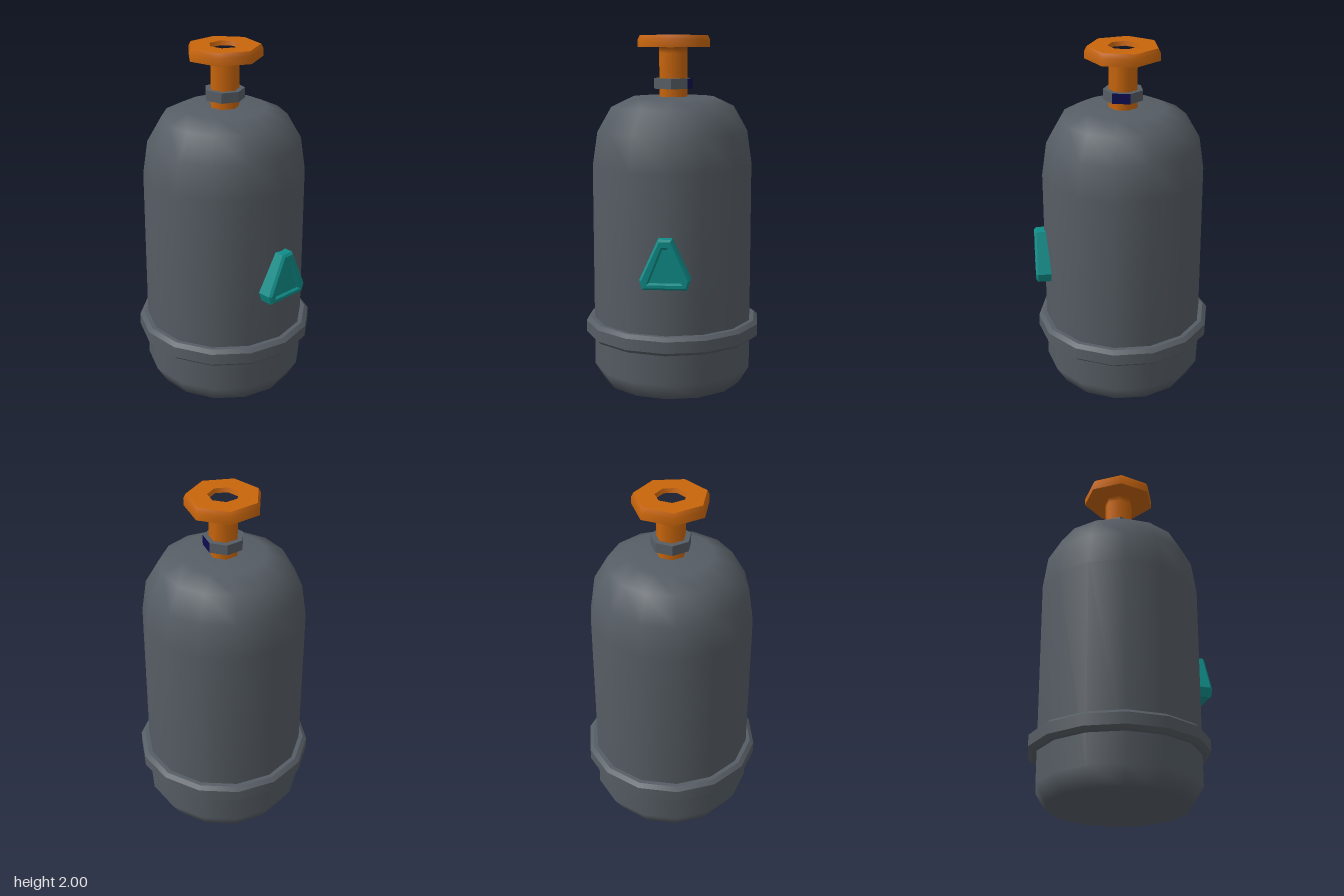
import * as THREE from 'three';

const steel = new THREE.MeshStandardMaterial({ color: 0x565d64 });
steel.name = 'steelGrey';
const orange = new THREE.MeshStandardMaterial({ color: 0xc8650c });
orange.name = 'valveOrange';
const teal = new THREE.MeshStandardMaterial({ color: 0x0f8c88 });
teal.name = 'badgeTeal';
const navy = new THREE.MeshStandardMaterial({ color: 0x0c0c50 });
navy.name = 'navy';

// One lathed band per profile: smooth inside a band, sharp between bands
function lathed(name, material, sides, bands) {
  const group = new THREE.Group();
  group.name = name;
  bands.forEach((band, i) => {
    const points = band.map(([r, y]) => new THREE.Vector2(r, y));
    const mesh = new THREE.Mesh(new THREE.LatheGeometry(points, sides), material);
    mesh.name = `${name}Band${i + 1}`;
    group.add(mesh);
  });
  return group;
}

function makeCollar() {
  const geo = new THREE.CylinderGeometry(0.113, 0.113, 0.058, 7).toNonIndexed();
  geo.computeVertexNormals();
  // One of the seven sides is navy
  geo.clearGroups();
  geo.addGroup(0, 6, 0);
  geo.addGroup(6, 6, 1);
  geo.addGroup(12, geo.attributes.position.count - 12, 0);
  const collar = new THREE.Mesh(geo, [steel, navy]);
  collar.name = 'collar';
  collar.position.y = 1.73;
  return collar;
}

function makeBadge() {
  const badge = new THREE.Group();
  badge.name = 'triangleBadge';
  const toPoints = (list) => list.map(([x, y]) => new THREE.Vector2(x, y));
  const outline = new THREE.Shape(toPoints([
    [-0.121, 0.652], [0.121, 0.652], [0.138, 0.705], [0.037, 0.928], [-0.037, 0.928], [-0.138, 0.705],
  ]));
  const inner = toPoints([[-0.086, 0.69], [0.086, 0.69], [0.012, 0.873], [-0.012, 0.873]]);
  outline.holes.push(new THREE.Path(inner));
  const rim = new THREE.Mesh(new THREE.ExtrudeGeometry(outline, {
    depth: 0.08, bevelThickness: 0.013, bevelSize: 0.012, bevelOffset: -0.012, bevelSegments: 1,
  }), teal);
  rim.name = 'badgeRim';
  rim.position.z = 0.42;

  // Sunken face inside the rim
  const face = new THREE.Mesh(new THREE.ShapeGeometry(new THREE.Shape(inner).clone()), teal);
  face.name = 'badgeFace';
  face.scale.set(1.1, 1.1, 1);
  face.position.set(0, -0.077, 0.5);
  badge.add(rim, face);
  return badge;
}

export function createModel() {
  const model = new THREE.Group();
  model.name = 'gasCylinder';

  const tank = new THREE.Group();
  tank.name = 'tank';
  tank.position.z = -0.005;
  model.add(tank);

  // Rounded bottle with a domed shoulder
  tank.add(lathed('bottle', steel, 14, [[
    [0, 0], [0.4, 0], [0.46, 0.1], [0.46, 1.27], [0.432, 1.46], [0.352, 1.6], [0.236, 1.655], [0, 1.657],
  ]]));

  // Chamfered band near the base
  tank.add(lathed('baseBand', steel, 14, [
    [[0.45, 0.277], [0.485, 0.277]],
    [[0.485, 0.277], [0.508, 0.297]],
    [[0.508, 0.297], [0.508, 0.362]],
    [[0.508, 0.362], [0.485, 0.382]],
    [[0.485, 0.382], [0.45, 0.382]],
  ]));

  // Hollow stem flaring into a seven-sided hand wheel
  tank.add(lathed('valveWheel', orange, 7, [
    [[0.082, 1.65], [0.082, 1.9], [0.082, 1.933], [0.212, 1.933]],
    [[0.212, 1.933], [0.212, 1.975], [0.199, 2]],
    [[0.199, 2], [0.087, 2]],
    [[0.087, 2], [0.08, 1.975]],
  ]));

  tank.add(makeCollar());
  model.add(makeBadge());
  return model;
}
